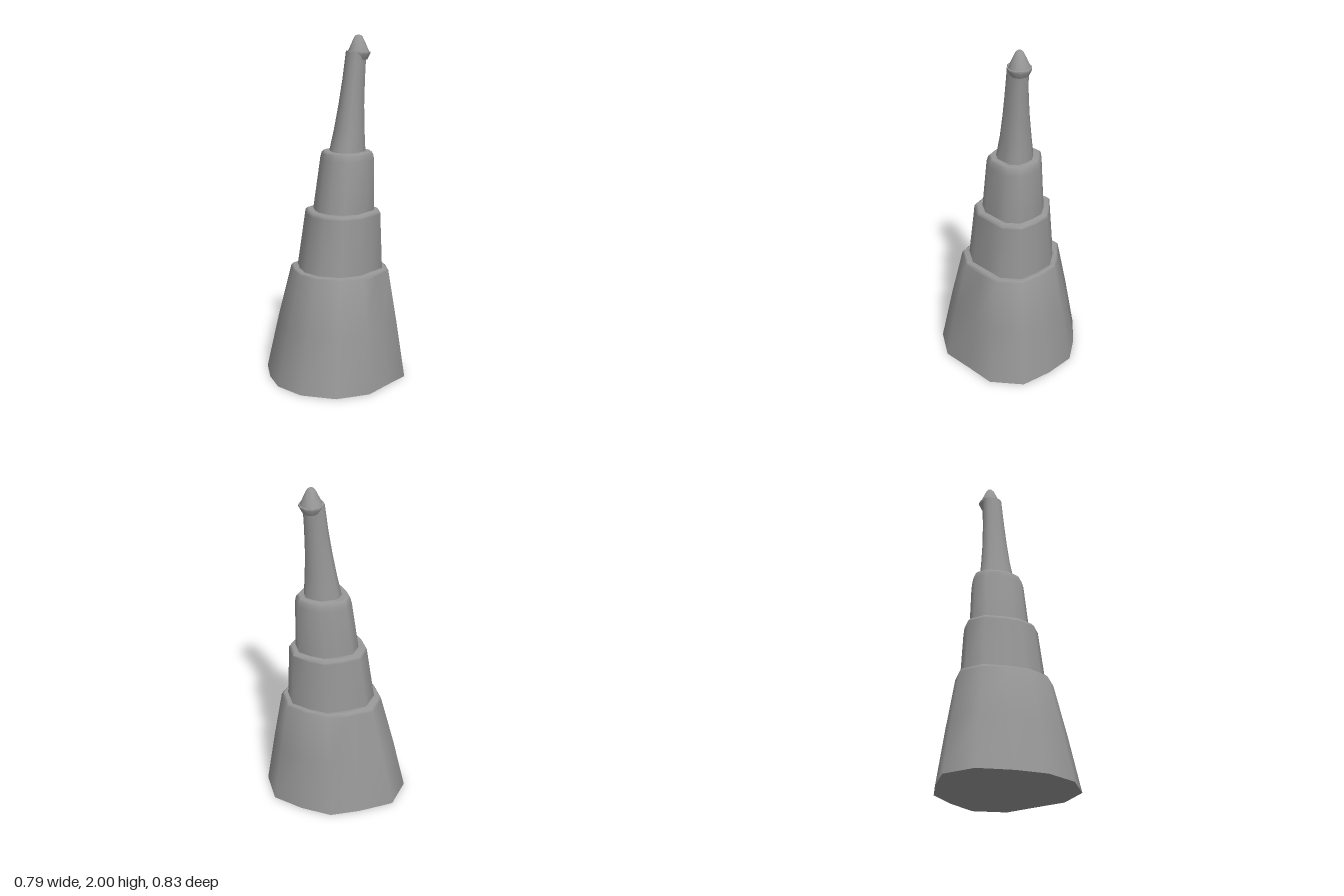
import * as THREE from 'three';
import { toCreasedNormals } from 'three/addons/utils/BufferGeometryUtils.js';

// Irregular 13-sided footprint (x, z) shared by every tier
const OUTLINE = [
  [-0.13, -0.385], [0.07, -0.415], [0.235, -0.285], [0.36, -0.155], [0.395, 0.03],
  [0.395, 0.22], [0.255, 0.365], [0.07, 0.385], [-0.125, 0.41], [-0.31, 0.32],
  [-0.395, 0.13], [-0.37, -0.07], [-0.27, -0.23],
];
const HALF_X = 0.395, HALF_Z = 0.4125;

const material = new THREE.MeshStandardMaterial({ color: 0x979797 });

// Closed loft through sections [y, xMin, xMax, zMin, zMax], the footprint stretched to fit each
function loft(sections) {
  const n = OUTLINE.length, pos = [], index = [];
  for (const [y, x0, x1, z0, z1] of sections) {
    for (const [x, z] of OUTLINE) {
      pos.push(
        (x0 + x1) / 2 + (x / HALF_X) * (x1 - x0) / 2, y,
        (z0 + z1) / 2 + ((z + 0.0025) / HALF_Z) * (z1 - z0) / 2);
    }
  }
  for (let s = 0; s < sections.length - 1; s++) {
    for (let i = 0; i < n; i++) {
      const a = s * n + i, b = s * n + (i + 1) % n;
      index.push(a, a + n, b, b, a + n, b + n);
    }
  }
  // End caps
  const addCap = (s, up) => {
    const [y, x0, x1, z0, z1] = sections[s];
    const c = pos.length / 3;
    pos.push((x0 + x1) / 2, y, (z0 + z1) / 2);
    for (let i = 0; i < n; i++) {
      const a = s * n + i, b = s * n + (i + 1) % n;
      if (up) index.push(c, b, a); else index.push(c, a, b);
    }
  };
  addCap(0, false);
  addCap(sections.length - 1, true);
  const g = new THREE.BufferGeometry();
  g.setAttribute('position', new THREE.Float32BufferAttribute(pos, 3));
  g.setIndex(index);
  return toCreasedNormals(g, 1);
}

// Tier walls finished with a small rounded rim, narrow bands keeping the walls' shading clean
function tier(walls) {
  const [below, top] = walls.slice(-2);
  const support = top.map((v, i) => v + (below[i] - v) * 0.03);
  const rim = (inset, rise) => [top[0] + rise, top[1] + inset, top[2] - inset, top[3] + inset, top[4] - inset];
  return loft([...walls.slice(0, -1), support, top, rim(0.012, 0.012), rim(0.016, 0.012)]);
}

export function createModel() {
  const group = new THREE.Group();
  const add = (name, geometry) => {
    const mesh = new THREE.Mesh(geometry, material);
    mesh.name = name;
    group.add(mesh);
    return mesh;
  };

  // Three stacked tiers
  add('baseTier', tier([
    [0, -0.395, 0.395, -0.415, 0.413],
    [0.33, -0.32, 0.35, -0.345, 0.362],
    [0.64, -0.243, 0.306, -0.27, 0.308],
  ]));
  add('middleTier', tier([
    [0.645, -0.205, 0.277, -0.23, 0.27],
    [0.981, -0.155, 0.267, -0.19, 0.25],
  ]));
  add('upperTier', tier([
    [0.985, -0.108, 0.235, -0.145, 0.212],
    [1.29, -0.065, 0.236, -0.113, 0.202],
    [1.325, -0.055, 0.23, -0.105, 0.195],
  ]));

  // Slender spire leaning toward +x
  add('spire', loft([
    [1.33, -0.013, 0.19, -0.057, 0.155],
    [1.46, 0.018, 0.185, -0.035, 0.144],
    [1.6, 0.042, 0.184, -0.014, 0.136],
    [1.75, 0.064, 0.19, 0.003, 0.132],
    [1.91, 0.085, 0.202, 0.014, 0.13],
  ]));

  // Flared collar and pointed cap with crisp edges
  const profile = [[0, 1.86], [0.05, 1.86], [0.055, 1.87], [0.069, 1.897], [0.069, 1.906],
    [0.062, 1.907], [0.043, 1.95], [0.024, 1.99], [0.015, 2], [0, 2]]
    .map(([r, y]) => new THREE.Vector2(r, y));
  const finial = add('finial', toCreasedNormals(new THREE.LatheGeometry(profile, 11), 0.65));
  finial.position.set(0.16, 0, 0.082);

  return group;
}
